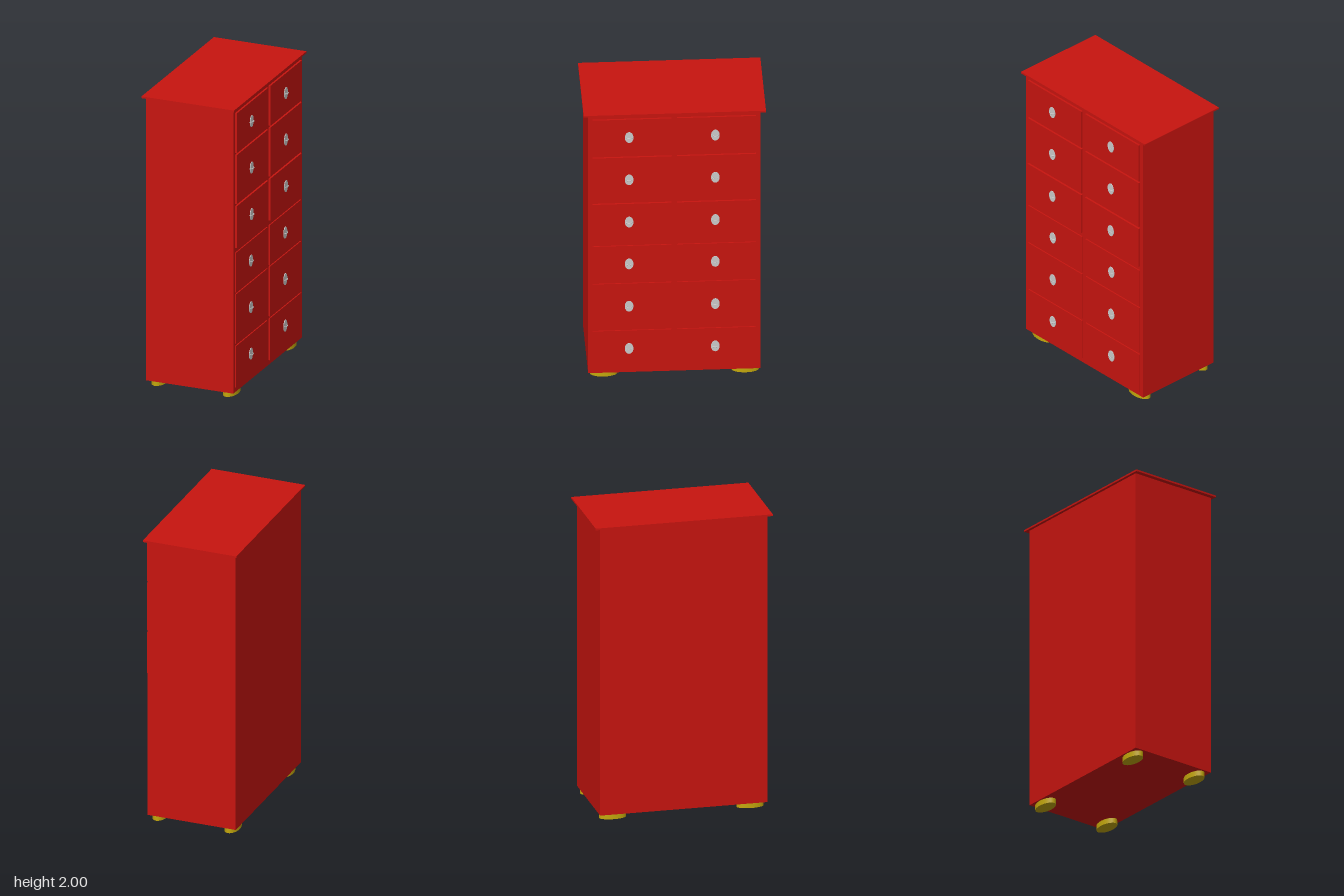
import * as THREE from 'three';

export function createModel() {
  const group = new THREE.Group();
  group.name = 'drawerCabinet';
  const red = new THREE.MeshStandardMaterial({ color: 0xc8140f });
  const yellow = new THREE.MeshStandardMaterial({ color: 0xc4a80c });
  const grey = new THREE.MeshStandardMaterial({ color: 0xcccccc });

  const add = (name, geometry, material, x, y, z, parent = group) => {
    const mesh = new THREE.Mesh(geometry, material);
    mesh.name = name;
    mesh.position.set(x, y, z);
    parent.add(mesh);
    return mesh;
  };
  // Box given by its limits on each axis
  const slab = (name, [x0, x1], [y0, y1], [z0, z1]) =>
    add(name, new THREE.BoxGeometry(x1 - x0, y1 - y0, z1 - z0), red,
      (x0 + x1) / 2, (y0 + y1) / 2, (z0 + z1) / 2);

  // Carcass and overhanging top
  slab('body', [-0.315, 0.3], [0.035, 1.99], [-0.556, 0.558]);
  slab('topPanel', [-0.333, 0.318], [1.988, 2], [-0.59, 0.588]);

  // Two columns of six drawers on the +x side
  const rows = [[0.067, 0.355], [0.37, 0.712], [0.722, 0.998],
    [1.03, 1.32], [1.334, 1.672], [1.684, 1.96]];
  const columns = [[0.02, 0.53], [-0.527, -0.015]];
  const knobZ = [0.294, -0.263];
  const plate = new THREE.CylinderGeometry(1, 1, 1, 24).rotateZ(Math.PI / 2);
  plate.scale(0.006, 0.04, 0.028);
  const pull = new THREE.TorusGeometry(0.022, 0.0025, 8, 20, Math.PI)
    .rotateX(Math.PI / 2).rotateY(-Math.PI / 2);
  rows.forEach((row, i) => {
    const face = i < 3 ? 0.308 : 0.313;
    columns.forEach((column, j) => {
      slab('drawer', [0.29, face], row, column);
      const handle = new THREE.Group();
      handle.name = 'handle';
      handle.position.set(face, 0.22 + i * 0.321, knobZ[j]);
      add('handlePlate', plate, grey, 0.001, 0, 0, handle);
      // Half ring standing out from the plate
      add('handlePull', pull, grey, -0.004, 0, 0, handle).scale.x = 0.95;
      group.add(handle);
    });
  });

  // Oval feet
  const foot = new THREE.CylinderGeometry(1, 1, 0.037, 28);
  foot.scale(0.048, 1, 0.09);
  for (const x of [-0.258, 0.243])
    for (const z of [-0.46, 0.455]) add('foot', foot, yellow, x, 0.0185, z);

  // Turn-free pull check: the arc must open toward the drawer face
  pull.computeBoundingBox();
  if (pull.boundingBox.max.x < 0.01) pull.rotateY(Math.PI);
  return group;
}
